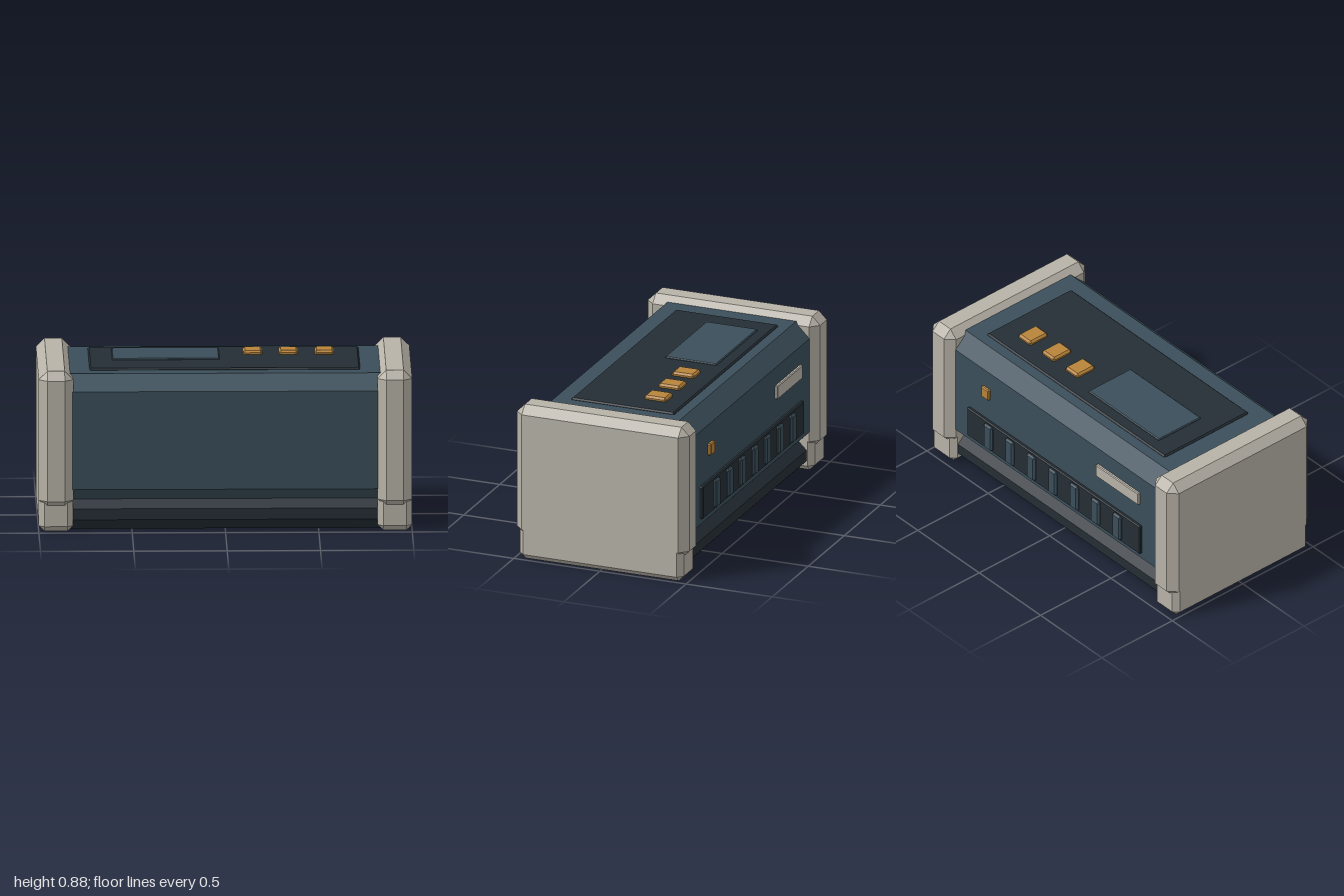
import * as THREE from 'three';
import { ConvexGeometry } from 'three/addons/geometries/ConvexGeometry.js';

const mat = (color) => new THREE.MeshStandardMaterial({ color, flatShading: true });

// Box between two corners with every edge cut at 45 degrees by c
function chamferBox(name, material, [x0, y0, z0], [x1, y1, z1], c) {
  const half = [(x1 - x0) / 2, (y1 - y0) / 2, (z1 - z0) / 2];
  const points = [];
  for (const sx of [-1, 1]) for (const sy of [-1, 1]) for (const sz of [-1, 1]) {
    const s = [sx, sy, sz];
    for (let full = 0; full < 3; full++) {
      const p = half.map((h, i) => s[i] * (i === full ? h : h - c));
      points.push(new THREE.Vector3(...p));
    }
  }
  const mesh = new THREE.Mesh(new ConvexGeometry(points), material);
  mesh.position.set((x0 + x1) / 2, (y0 + y1) / 2, (z0 + z1) / 2);
  mesh.name = name;
  return mesh;
}

export function createModel() {
  const model = new THREE.Group();
  model.name = 'deviceCase';
  const shell = mat(0x3a4e5a);
  const dark = mat(0x252e35);
  const amber = mat(0xb8843a);
  const pale = mat(0xb8b3a8);
  const add = (...args) => model.add(chamferBox(...args));

  // Main housing and dark base
  add('housing', shell, [-0.93, 0.145, -0.457], [0.93, 0.845, 0.457], 0.083);
  add('base', dark, [-0.9, 0, -0.44], [0.9, 0.18, 0.44], 0.06);

  // Protective end caps, each with a narrower foot
  for (const side of [-1, 1]) {
    const cap = new THREE.Group();
    cap.name = side > 0 ? 'leftEndCap' : 'rightEndCap';
    const xMin = side > 0 ? 0.815 : -1;
    const xMax = side > 0 ? 1 : -0.815;
    cap.add(chamferBox('capBumper', pale, [xMin, 0.125, -0.5], [xMax, 0.875, 0.5], 0.046));
    cap.add(chamferBox('capFoot', pale, [xMin, 0, -0.475], [xMax, 0.25, 0.475], 0.03));
    model.add(cap);
  }

  // Control panel on top: plate, screen and three buttons
  add('controlPlate', dark, [-0.725, 0.83, -0.315], [0.725, 0.855, 0.283], 0.008);
  add('screen', shell, [-0.6, 0.845, -0.247], [-0.025, 0.863, 0.052], 0.005);
  for (const x of [0.155, 0.347, 0.539]) {
    add('button', amber, [x - 0.052, 0.845, -0.212], [x + 0.052, 0.876, -0.083], 0.011);
  }

  // Back vent with seven ribs
  add('ventPanel', dark, [-0.705, 0.262, -0.475], [0.705, 0.448, -0.445], 0.006);
  for (let i = -3; i <= 3; i++) {
    const x = i * 0.175 - 0.003;
    add('ventRib', shell, [x - 0.034, 0.275, -0.491], [x + 0.034, 0.435, -0.46], 0.01);
  }

  // Back label plate and indicator
  add('backPlate', pale, [-0.69, 0.582, -0.472], [-0.34, 0.66, -0.445], 0.005);
  add('indicator', amber, [0.53, 0.587, -0.474], [0.593, 0.655, -0.445], 0.006);

  return model;
}
